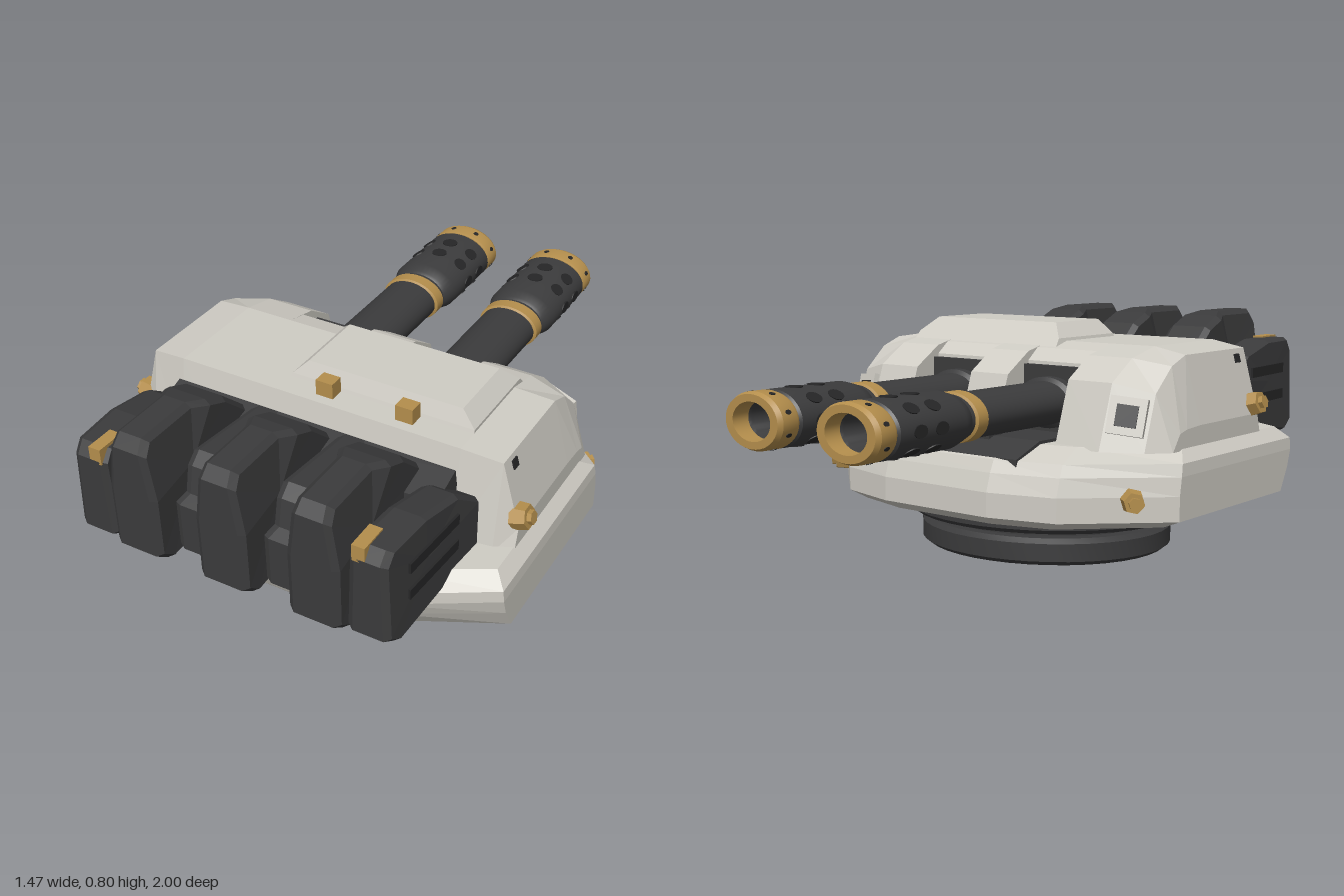
import * as THREE from 'three';
import { toCreasedNormals } from 'three/addons/utils/BufferGeometryUtils.js';

const mat = (name, color) => {
  const m = new THREE.MeshStandardMaterial({ color });
  m.name = name;
  return m;
};

// Skin through closed rings of [x,y,z] points, with fan caps; faces point outwards.
function loft(rings) {
  const tris = [], n = rings[0].length;
  const mid = r => [0, 1, 2].map(k => r.reduce((s, p) => s + p[k], 0) / n);
  const first = rings[0], last = rings[rings.length - 1], c0 = mid(first), c1 = mid(last);
  for (let j = 0; j < n; j++) {
    const k = (j + 1) % n;
    for (let i = 0; i < rings.length - 1; i++) {
      const a = rings[i], b = rings[i + 1];
      tris.push([a[j], a[k], b[k]], [a[j], b[k], b[j]]);
    }
    tris.push([c0, first[k], first[j]], [c1, last[j], last[k]]);
  }
  let volume = 0;
  for (const [a, b, c] of tris) {
    volume += a[0] * (b[1] * c[2] - b[2] * c[1]) + a[1] * (b[2] * c[0] - b[0] * c[2]) + a[2] * (b[0] * c[1] - b[1] * c[0]);
  }
  if (volume < 0) tris.forEach(t => t.reverse());
  const g = new THREE.BufferGeometry();
  g.setAttribute('position', new THREE.Float32BufferAttribute(tris.flat(2), 3));
  g.computeVertexNormals();
  return g;
}

const lathe = pts => toCreasedNormals(
  new THREE.LatheGeometry(pts.map(p => new THREE.Vector2(...p)), 40), 0.5);

export function createModel() {
  const root = new THREE.Group();
  const armour = mat('pale armour', 0xcfccc4), dark = mat('dark metal', 0x3b3b3c);
  const gold = mat('brass', 0xb48e4c), black = mat('black recess', 0x262627);
  const add = (name, geo, material, parent = root) => {
    const m = new THREE.Mesh(geo, material);
    m.name = name;
    parent.add(m);
    return m;
  };
  const box = (name, material, size, pos) => {
    const m = add(name, new THREE.BoxGeometry(...size), material);
    m.position.set(...pos);
    return m;
  };
  // Prism of a [z,y] side profile between two x positions
  const slab = (name, material, profile, x0, x1) =>
    add(name, loft([x0, x1].map(x => profile.map(([z, y]) => [x, y, z]))), material);

  // Turning base with a grooved rim and a hole underneath
  const base = add('turningBase', lathe([[0, 0.07], [0.09, 0.07], [0.09, 0], [0.44, 0], [0.46, 0.015],
    [0.46, 0.075], [0.44, 0.09], [0.4, 0.09], [0.4, 0.115], [0.49, 0.115], [0.51, 0.13],
    [0.51, 0.16], [0.48, 0.175], [0.4, 0.19]]), dark);
  base.scale.z = 0.9;
  base.position.z = 0.17;

  // Lower hull: one faceted outline repeated at several heights
  const half = [[0.22, -0.42], [0.45, -0.36], [0.73, -0.1], [0.73, 0.62], [0.43, 0.8], [0.18, 0.87]];
  const outline = [...half, ...half.map(([x, z]) => [-x, z]).reverse()];
  const levels = [ // height, width, front and back scale
    [0.17, 0.9, 0.8, 0.93], [0.2, 1, 0.84, 1], [0.28, 1, 0.95, 1],
    [0.34, 1, 1, 0.97], [0.38, 0.995, 1, 0.94], [0.42, 0.94, 0.9, 0.76]];
  add('lowerHull', loft(levels.map(([y, sx, sf, sb]) =>
    outline.map(([x, z]) => [x * sx, y, 0.22 + (z - 0.22) * (z > 0.22 ? sf : sb)]))), armour);

  // Upper hull: strips across the width, two of them cut back for the guns
  const full = [[0.52, 0.4], [0.47, 0.72], [0.1, 0.72], [-0.03, 0.69], [-0.14, 0.62], [-0.21, 0.41]];
  const cut = [[0.52, 0.4], [0.47, 0.72], [0.1, 0.72], [0.02, 0.7], [-0.03, 0.66], [-0.05, 0.41]];
  slab('nose', armour, full, -0.08, 0.08);
  const middle = [[0.5, 0.4], [0.45, 0.7], [0.08, 0.7], [0, 0.67], [-0.09, 0.59], [-0.15, 0.41]];
  const outer = [[0.47, 0.41], [0.45, 0.48], [0.08, 0.48], [0, 0.475], [-0.04, 0.465], [-0.08, 0.41]];
  for (const s of [-1, 1]) {
    slab('gunSlotRoof', armour, cut, s * 0.08, s * 0.33);
    slab('slotCheek', armour, full, s * 0.33, s * 0.5);
    add('sideArmour', loft([[0.5, full], [0.63, middle], [0.69, outer]].map(([x, p]) =>
      p.map(([z, y]) => [s * x, y, z]))), armour);
    // Rear sight window
    for (const [name, m, w, d] of [['windowFrame', armour, 0.12, 0.03], ['rearWindow', black, 0.07, 0.038]]) {
      const win = box(name, m, [w, w, d], [s * 0.565, 0.52, -0.148]);
      win.rotation.set(0.28, -s * 0.36, 0);
    }
    box('slotLining', dark, [0.24, 0.24, 0.02], [s * 0.205, 0.53, -0.05]);
  }
  slab('gunWell', dark, [[-0.05, 0.4], [-0.05, 0.43], [-0.25, 0.43], [-0.37, 0.385], [-0.37, 0.36]], -0.3, 0.3);
  box('gunCradle', dark, [0.22, 0.09, 0.07], [0, 0.45, -0.24]);

  // Off-centre raised roof plate with two brass blocks
  const roof = (y, x0, x1, z0, z1) => [[x0, y, z0], [x1, y, z0], [x1, y, z1], [x0, y, z1]];
  add('roofPlate', loft([roof(0.7, -0.15, 0.5, 0.03, 0.39), roof(0.73, -0.14, 0.5, 0.06, 0.38),
    roof(0.78, -0.09, 0.45, 0.11, 0.36)]), armour);
  for (const x of [0.01, 0.29]) box('roofBlock', gold, [0.06, 0.055, 0.05], [x, 0.745, 0.41]);

  // Two slightly flattened guns pointing backwards
  for (const s of [-1, 1]) {
    const gun = new THREE.Group();
    gun.name = 'gun';
    gun.position.set(s * 0.2, 0.53, 0);
    gun.scale.y = 0.71;
    root.add(gun);
    const part = (name, m, pts) => add(name, lathe(pts).rotateX(-Math.PI / 2), m, gun);
    part('barrel', dark, [[0, 0.02], [0.12, 0.02], [0.12, 0.09], [0.102, 0.1], [0.102, 0.58], [0.112, 0.59],
      [0.127, 0.63], [0.127, 0.91], [0.11, 0.925]]);
    part('barrelRing', gold, [[0.1, 0.51], [0.112, 0.515], [0.112, 0.56], [0.1, 0.565]]);
    part('muzzleRing', gold, [[0.1, 0.92], [0.122, 0.92], [0.127, 0.93], [0.127, 0.985], [0.117, 1],
      [0.085, 1], [0.085, 0.94]]);
    part('bore', dark, [[0.085, 0.94], [0.08, 0.93], [0.08, 0.7], [0, 0.7]]);
    // Vent holes and muzzle rivets around the barrel
    const dots = (name, m, count, r, dist, turn) => {
      for (let i = 0; i < count; i++) {
        const g = new THREE.CylinderGeometry(r, r, 0.008, 14);
        g.translate(0, 0.1255, 0).rotateZ((i + turn) * 2 * Math.PI / count).translate(0, 0, -dist);
        add(name, g, m, gun);
      }
    };
    dots('ventHole', black, 8, 0.028, 0.74, 0);
    dots('ventHole', black, 8, 0.028, 0.83, 0);
    dots('muzzleRivet', black, 8, 0.01, 0.958, 0.5);
  }

  // Chamfered counterweight: side profile swept over a width that may vary
  const block = (name, profile, cx, width, lean = 0) => {
    const cz = 0.75, cy = 0.53;
    const ring = (s, chamfer) => profile.map(([z, y]) => {
      const k = chamfer ? 0.94 : 1, w = width(y, z) - (chamfer ? 0 : 0.02);
      return [cx + s * w + lean * (z - cz), cy + (y - cy) * k, cz + (z - cz) * k];
    });
    add(name, loft([ring(-1, true), ring(-1, false), ring(1, false), ring(1, true)]), dark);
  };
  const tall = [[0.48, 0.39], [0.95, 0.35], [1, 0.39], [1, 0.6], [1, 0.76], [0.97, 0.8],
    [0.76, 0.8], [0.7, 0.785], [0.62, 0.75], [0.5, 0.64]];
  const low = [[0.5, 0.37], [0.9, 0.36], [0.92, 0.38], [0.92, 0.55], [0.88, 0.57], [0.86, 0.66],
    [0.82, 0.695], [0.5, 0.66]];
  const side = [[0.49, 0.4], [0.93, 0.355], [0.98, 0.39], [0.98, 0.66], [0.95, 0.7], [0.78, 0.7],
    [0.6, 0.66], [0.49, 0.58]];
  for (const x of [-0.31, 0, 0.31]) {
    block('tallWeight', tall, x, (y, z) => (z < 0.72 || y < 0.61 ? 0.086 : 0.086 - (y - 0.6) * 0.14));
  }
  slab('weightMount', dark, [[0.45, 0.41], [0.62, 0.4], [0.62, 0.62], [0.5, 0.66]], -0.5, 0.5);
  for (const s of [-1, 1]) {
    block('lowWeight', low, s * 0.157, y => (y > 0.56 ? 0.05 : 0.063));
    block('sideWeight', side, s * 0.493, y => (y > 0.64 ? 0.06 : 0.07), -s * 0.07);
    for (const y of [0.5, 0.595]) {
      box('weightSlot', black, [0.008, 0.035, 0.26], [s * 0.5635, y, 0.75]).rotation.y = -s * 0.07;
    }
    box('weightClip', gold, [0.042, 0.055, 0.1], [s * 0.45, 0.678, 0.93]);
  }

  // Hexagonal brass bolts on the flanks and rear corners
  const bolt = (pos, dir, r) => {
    const g = new THREE.Group();
    g.name = 'bolt';
    g.position.set(...pos);
    g.quaternion.setFromUnitVectors(new THREE.Vector3(0, 1, 0), new THREE.Vector3(...dir).normalize());
    root.add(g);
    const hex = (a, b, h, y, name, m) => add(name, new THREE.CylinderGeometry(a, b, h, 6)
      .toNonIndexed().translate(0, y, 0), m, g).geometry.computeVertexNormals();
    hex(r * 0.85, r, 0.05, 0, 'boltCollar', gold);
    hex(r * 0.5, r * 0.5, 0.02, 0.03, 'boltHead', gold);
  };
  for (const s of [-1, 1]) {
    bolt([s * 0.69, 0.515, 0.43], [s, 0.25, 0], 0.046);
    bolt([s * 0.635, 0.27, -0.215], [s * 0.26, 0, -0.28], 0.04);
    // Small marker recess on the flank
    const mark = box('flankMarker', black, [0.008, 0.03, 0.03], [s * 0.64, 0.668, 0.39]);
    mark.rotation.z = s * 0.27;
  }
  return root;
}
